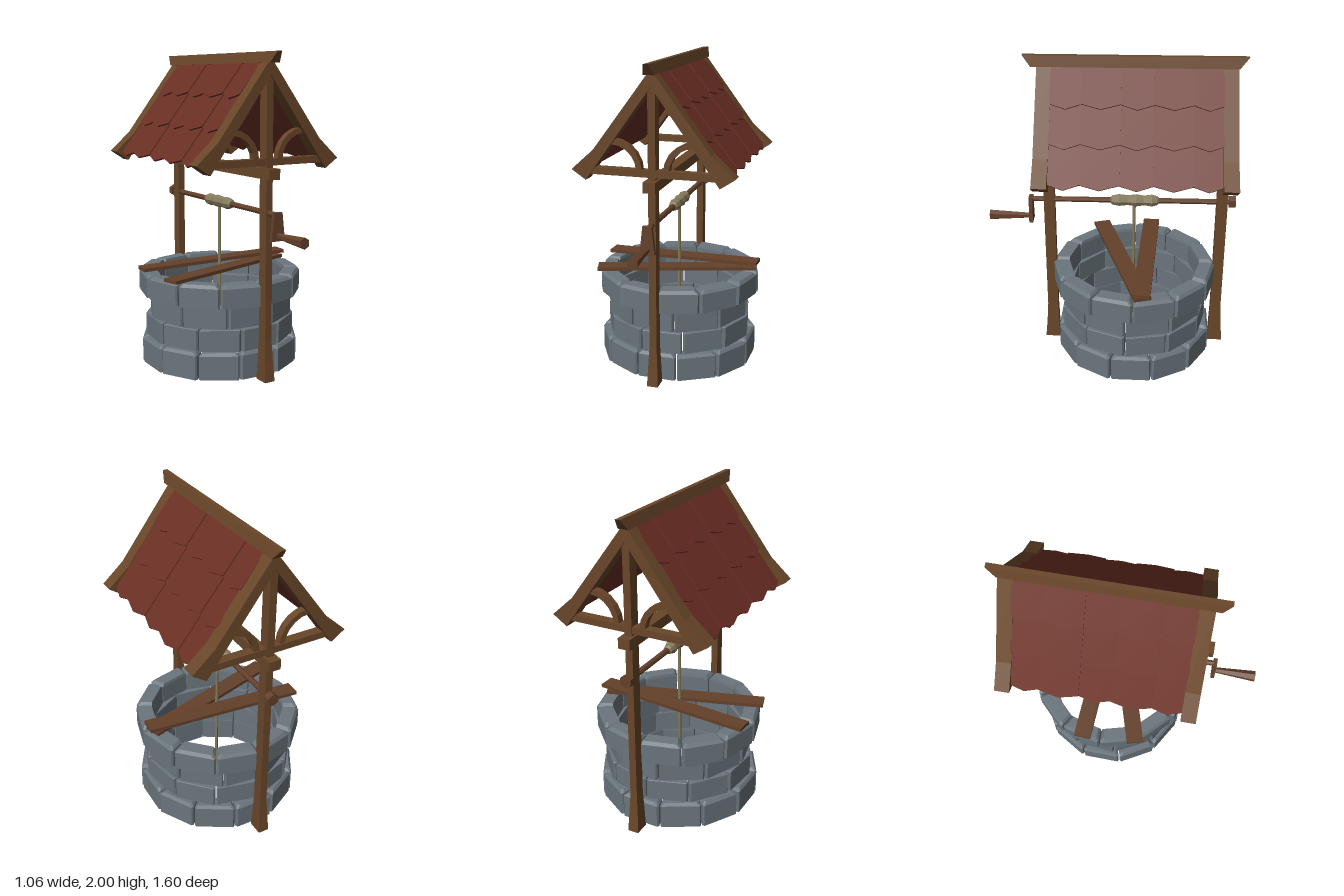
import * as THREE from 'three';

const mat = (name, color, extra = {}) => {
  const m = new THREE.MeshStandardMaterial({ color, flatShading: true, ...extra });
  m.name = name;
  return m;
};

// Joins equal-length loops of [x, y, z] (counter-clockwise about the direction of travel) and caps both ends
function loft(loops) {
  const pos = [], n = loops[0].length, last = loops[loops.length - 1];
  const tri = (...p) => p.forEach(v => pos.push(...v));
  for (let k = 0; k + 1 < loops.length; k++) {
    const a = loops[k], b = loops[k + 1];
    for (let i = 0; i < n; i++) {
      const j = (i + 1) % n;
      tri(a[i], a[j], b[j]);
      tri(a[i], b[j], b[i]);
    }
  }
  for (let i = 1; i + 1 < n; i++) {
    tri(loops[0][0], loops[0][i + 1], loops[0][i]);
    tri(last[0], last[i], last[i + 1]);
  }
  const g = new THREE.BufferGeometry();
  g.setAttribute('position', new THREE.Float32BufferAttribute(pos, 3));
  g.computeVertexNormals();
  return g;
}

const extrude = (pts, depth) => new THREE.ExtrudeGeometry(
  new THREE.Shape(pts.map(p => new THREE.Vector2(...p))), { depth, bevelEnabled: false });

export function createModel() {
  const root = new THREE.Group();
  root.name = 'well';
  const wood = mat('wood', 0x694629);
  const darkWood = mat('dark wood', 0x64402a);
  const red = mat('roof red', 0x6b2f24);
  const stone = mat('stone', 0x6a757c);
  const rope = mat('rope', 0x857b5c);

  const add = (name, geo, material, parent = root) => {
    const m = new THREE.Mesh(geo, material);
    m.name = name;
    parent.add(m);
    return m;
  };
  const box = (name, size, at, material, parent) => {
    const m = add(name, new THREE.BoxGeometry(...size), material, parent);
    m.position.set(...at);
    return m;
  };
  let seed = 7;
  const rand = () => (seed = (seed * 16807) % 2147483647) / 2147483647 - 0.5;

  // Stone ring: four courses of wedge-shaped blocks
  const wall = new THREE.Group();
  wall.name = 'stoneWall';
  wall.position.z = -0.14;
  root.add(wall);
  const courses = [
    { y0: 0.005, y1: 0.175, r: 0.515, ri: 0.43, n: 12, start: -16, c: 0.018 },
    { y0: 0.178, y1: 0.315, r: 0.483, ri: 0.42, n: 11, start: -14, c: 0.004 },
    { y0: 0.32, y1: 0.46, r: 0.473, ri: 0.42, n: 10, start: -24, c: 0.004 },
    { y0: 0.465, y1: 0.61, r: 0.53, ri: 0.43, n: 12, start: 0, c: 0.02 },
  ];
  for (const { y0, y1, r, ri, n, start, c } of courses) {
    for (let i = 0; i < n; i++) {
      const step = Math.PI * 2 / n, a = start * Math.PI / 180 + i * step;
      const a0 = a + 0.008, a1 = a + step - 0.008, ro = r + rand() * 0.01, top = y1 + rand() * 0.006;
      const level = (y, d) => {
        const o = ro - d, e = d / ro, k = 0.011;
        return [[o - k, a0 + e], [o, a0 + e + k / o], [o, a1 - e - k / o], [o - k, a1 - e],
          [ri, a1 - e], [ri, a0 + e]].map(([q, t]) => [q * Math.sin(t), y, q * Math.cos(t)]);
      };
      add('stoneBlock', loft([level(y0, 0), level(top - c, 0), level(top, c)]), stone, wall);
    }
  }

  // Rectangular section for vertical lofts
  const rect = (y, w, z0, z1) => [[-w, y, z1], [w, y, z1], [w, y, z0], [-w, y, z0]];

  // Posts and gable trusses, front and back
  const half = [[0.36, 1.485], [0.5, 1.36], [0.41, 1.3], [0.335, 1.405]];
  const outline = [[0, 1.965], ...half, [0, 1.865],
    ...half.map(([x, y]) => [-x, y]).reverse()];
  for (const [z, s] of [[0.41, 1], [-0.695, -1]]) {
    const end = new THREE.Group();
    end.name = s > 0 ? 'frontFrame' : 'backFrame';
    end.position.z = z;
    root.add(end);
    const foot = (y, w, d, out) => rect(y, w, -d - (s < 0 ? out : 0), d + (s > 0 ? out : 0));
    add('post', loft([foot(0, 0.035, 0.042, 0.014), foot(0.12, 0.03, 0.038, 0.006),
      foot(0.26, 0.023, 0.035, 0), foot(1.88, 0.023, 0.035, 0)]), wood, end);
    add('rafters', extrude(outline, 0.09).translate(0, 0, -0.045), wood, end);
    box('tieBeam', [0.76, 0.042, 0.06], [0, 1.356, 0], wood, end);
    // Curved braces as flat quarter arcs
    for (const side of [1, -1]) {
      const arc = [];
      for (const r of [0.19, 0.155]) {
        const row = [];
        for (let i = 0; i <= 5; i++) {
          const t = i / 5 * 1.55;
          row.push([side * (0.255 - r * Math.cos(t)), 1.365 + r * Math.sin(t)]);
        }
        arc.push(...(r > 0.17 ? row : row.reverse()));
      }
      add('curvedBrace', extrude(arc, 0.045).translate(0, 0, -0.0225), wood, end);
    }
  }
  box('longBeam', [0.076, 0.064, 1.28], [0, 1.288, -0.14], wood);

  // Ridge cap, wider and longer toward the top face
  add('ridgeCap', loft([rect(1.935, 0.034, -0.745, 0.49), rect(2, 0.015, -0.8, 0.54)]), wood);

  // Roof slopes: thin board with overlapping pointed shingles
  const edges = [0.37, 0.18, -0.05, -0.25, -0.48, -0.66];
  const cos = 0.588, sin = 0.809, pitch = 0.241;
  for (const s of [1, -1]) {
    const slope = new THREE.Group();
    slope.name = s > 0 ? 'leftRoof' : 'rightRoof';
    slope.matrixAutoUpdate = false;
    slope.matrix.makeBasis(new THREE.Vector3(0, 0, -s), new THREE.Vector3(-s * cos, sin, 0),
      new THREE.Vector3(s * sin, cos, 0)).setPosition(0, 1.942, 0);
    root.add(slope);
    const board = new THREE.BoxGeometry(1.05, 0.71, 0.01).translate(s * 0.145, -0.36, -0.007);
    add('roofBoard', board, red, slope);
    for (let row = 0; row < 3; row++) {
      for (let i = 0; i < 5; i++) {
        const raised = i % 2, over = raised ? 0.004 : 0;
        const x0 = -s * (edges[i] + over), x1 = -s * (edges[i + 1] - over);
        const len = pitch + 0.008;
        const tile = extrude([[x0, 0], [x1, 0], [x1, -len], [(x0 + x1) / 2, -len - 0.032], [x0, -len]], 0.012);
        tile.rotateX(-0.045).translate(0, -row * pitch, raised * 0.007);
        add('shingle', tile, red, slope);
      }
    }
  }

  // Windlass: axle, end cap, rope coil and hanging rope
  const rod = (name, r0, r1, z0, z1, y, sides, material) => {
    const g = new THREE.CylinderGeometry(r1, r0, z1 - z0, sides).rotateX(Math.PI / 2);
    return add(name, g.translate(0, y, (z0 + z1) / 2), material);
  };
  rod('axle', 0.018, 0.018, -0.76, 0.54, 1.05, 8, darkWood);
  rod('axleCap', 0.04, 0.04, -0.78, -0.738, 1.052, 6, darkWood);
  const coil = [[0.012, -0.16], [0.03, -0.145], [0.04, -0.11], [0.033, -0.06], [0.041, -0.01],
    [0.033, 0.045], [0.04, 0.1], [0.031, 0.145], [0.012, 0.16]].map(p => new THREE.Vector2(...p));
  add('ropeCoil', new THREE.LatheGeometry(coil, 8).rotateX(Math.PI / 2).translate(0, 1.05, -0.138), rope);
  add('hangingRope', new THREE.CylinderGeometry(0.01, 0.01, 1.01, 6).translate(0, 0.525, -0.135), rope);

  // Crank arm and tapered handle
  add('crankArm', extrude([[-0.047, 0.897], [0.047, 0.897], [0.028, 1.068], [-0.028, 1.068]], 0.024)
    .translate(0, 0, 0.518), darkWood);
  rod('crankHandle', 0.017, 0.035, 0.53, 0.8, 0.928, 6, darkWood);

  // Two loose planks lying across the rim
  const plank = (name, from, to, w) => {
    const a = new THREE.Vector3(...from), b = new THREE.Vector3(...to), d = b.clone().sub(a);
    const m = box(name, [d.length(), 0.022, w], a.add(b).multiplyScalar(0.5).toArray(), darkWood);
    m.rotation.set(0, -Math.atan2(d.z, d.x), Math.asin(d.y / d.length()));
  };
  plank('lowerPlank', [-0.49, 0.623, 0.1], [0.5, 0.623, -0.2], 0.11);
  plank('upperPlank', [-0.515, 0.633, -0.255], [0.525, 0.658, -0.19], 0.11);
  return root;
}
